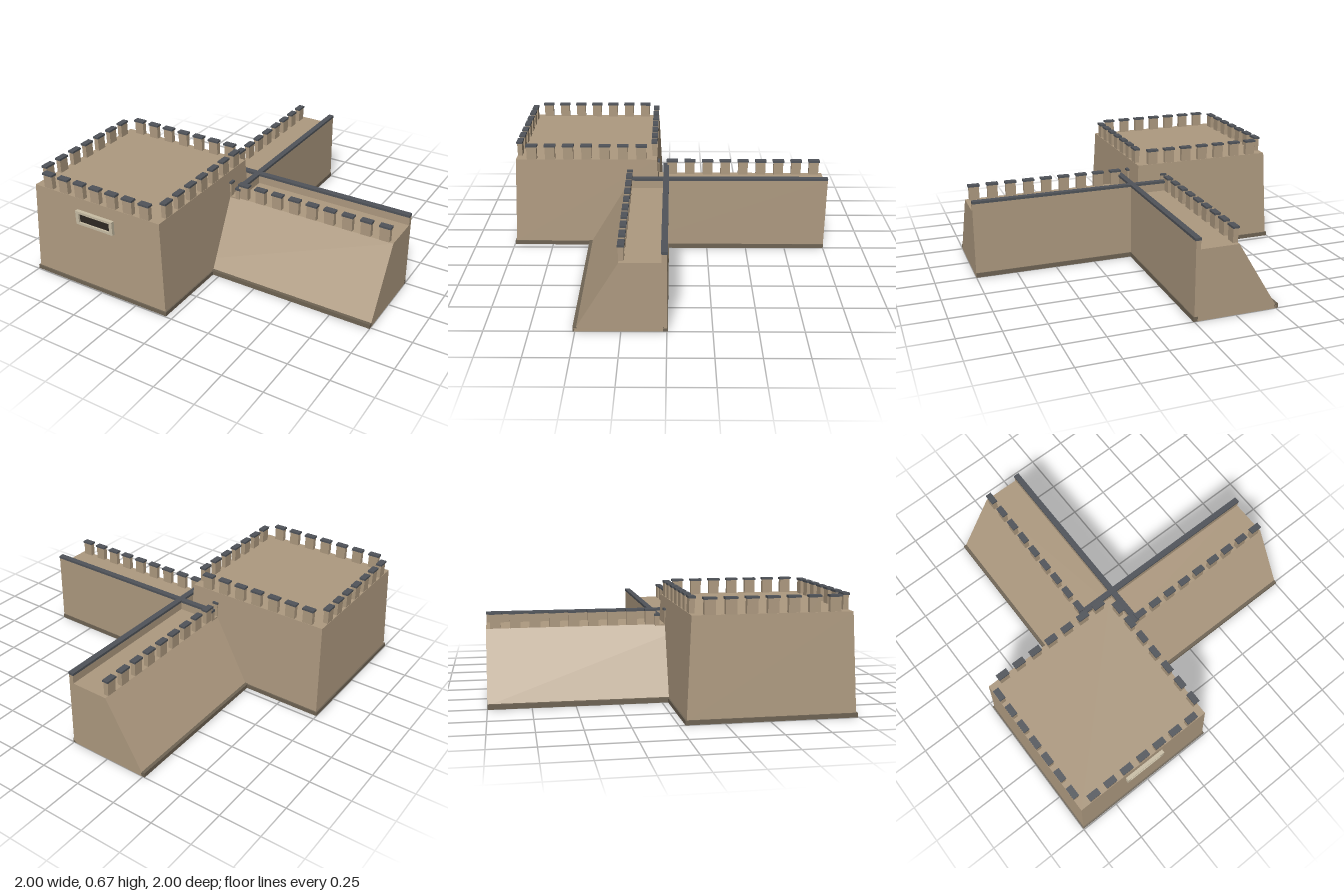
import * as THREE from 'three';

const material = (color) => new THREE.MeshStandardMaterial({ color, flatShading: true });

export function createModel() {
  const model = new THREE.Group();
  const stone = material(0xae9a80);
  const plinthStone = material(0x6f6454);
  const slate = material(0x50545a);
  const frameStone = material(0xc8bda4);
  const dark = material(0x2e2823);

  function add(parent, name, geometry, mat, x = 0, y = 0, z = 0) {
    const mesh = new THREE.Mesh(geometry, mat);
    mesh.name = name;
    mesh.position.set(x, y, z);
    parent.add(mesh);
    return mesh;
  }

  // Box given by its minimum and maximum corners
  function block(parent, name, mat, [x0, y0, z0], [x1, y1, z1]) {
    return add(parent, name, new THREE.BoxGeometry(x1 - x0, y1 - y0, z1 - z0), mat,
      (x0 + x1) / 2, (y0 + y1) / 2, (z0 + z1) / 2);
  }

  // Merlon with an overhanging slate cap, long side along x
  function merlon(parent, x, y, z, height) {
    const group = new THREE.Group();
    group.name = 'merlon';
    group.position.set(x, y, z);
    block(group, 'merlonBlock', stone, [-0.031, 0, -0.015], [0.031, height - 0.012, 0.015]);
    block(group, 'merlonCap', slate, [-0.036, height - 0.012, -0.019], [0.036, height, 0.019]);
    parent.add(group);
  }

  // Curtain wall along x: sloped outer face (+z), walkway, rear parapet.
  // dir is the side of x on which the free end lies.
  function curtainWall(name, dir) {
    const wall = new THREE.Group();
    wall.name = name;
    const half = 0.63, base = 0.02;
    const profile = new THREE.Shape([
      [0, base], [0.497, base], [0.255, 0.42], [0.028, 0.42], [0.028, 0.47], [0, 0.47],
    ].map(([z, y]) => new THREE.Vector2(z, y)));
    const body = new THREE.ExtrudeGeometry(profile, { depth: half * 2, bevelEnabled: false });
    body.rotateY(-Math.PI / 2).translate(half, 0, 0);
    add(wall, 'wallBody', body, stone);
    block(wall, 'parapetCap', slate, [-half, 0.47, -0.005], [half, 0.485, 0.031]);

    // Base strips along both long sides and lips across the ends
    block(wall, 'rearPlinth', plinthStone, [-half, 0, -0.005], [half, 0.028, 0.02]);
    block(wall, 'frontPlinth', plinthStone, [-half, 0, 0.487], [half, 0.028, 0.512]);
    for (const s of [-1, 1]) {
      const x = s * (half - 0.01);
      block(wall, 'endLip', stone, [x - 0.01, 0, 0], [x + 0.01, 0.021, 0.505]);
    }
    for (let i = 0; i < 10; i++) merlon(wall, dir * (half - 0.055 - i * 0.115), 0.42, 0.242, 0.095);
    model.add(wall);
    return wall;
  }

  curtainWall('leftWall', 1).position.set(0.37, 0, 0);
  const rearWall = curtainWall('rearWall', -1);
  rearWall.rotation.y = -Math.PI / 2;
  rearWall.position.set(0, 0, -0.37);

  // Square corner tower
  const tower = new THREE.Group();
  tower.name = 'tower';
  tower.position.set(-0.52, 0, 0.515);
  model.add(tower);

  // Tapered body
  const height = 0.56;
  const body = new THREE.BoxGeometry(2, height, 2);
  const p = body.attributes.position;
  for (let i = 0; i < p.count; i++) {
    const r = p.getY(i) > 0 ? 0.445 : 0.472;
    p.setX(i, p.getX(i) * r);
    p.setZ(i, p.getZ(i) * r);
  }
  body.computeVertexNormals();
  add(tower, 'towerBody', body, stone, 0, 0.02 + height / 2, 0);

  // Each side carries a base strip and a row of merlons
  for (let side = 0; side < 4; side++) {
    const face = new THREE.Group();
    face.name = 'towerSide';
    face.rotation.y = side * Math.PI / 2;
    block(face, 'towerPlinth', plinthStone, [-0.48, 0, 0.455], [0.48, 0.025, 0.48]);
    for (let i = -3; i <= 3; i++) merlon(face, i * 0.115, 0.58, 0.428, 0.093);
    tower.add(face);
  }

  // Framed window slot in the front face
  const frame = new THREE.Shape();
  frame.moveTo(-0.132, -0.043).lineTo(0.132, -0.043).lineTo(0.132, 0.043).lineTo(-0.132, 0.043);
  const hole = new THREE.Path();
  hole.moveTo(-0.11, -0.028).lineTo(-0.11, 0.028).lineTo(0.11, 0.028).lineTo(0.11, -0.028);
  frame.holes.push(hole);
  add(model, 'windowFrame', new THREE.ExtrudeGeometry(frame, { depth: 0.035, bevelEnabled: false }),
    frameStone, -0.522, 0.463, 0.95);
  add(model, 'windowOpening', new THREE.BoxGeometry(0.224, 0.06, 0.02), dark, -0.522, 0.463, 0.964);

  return model;
}
